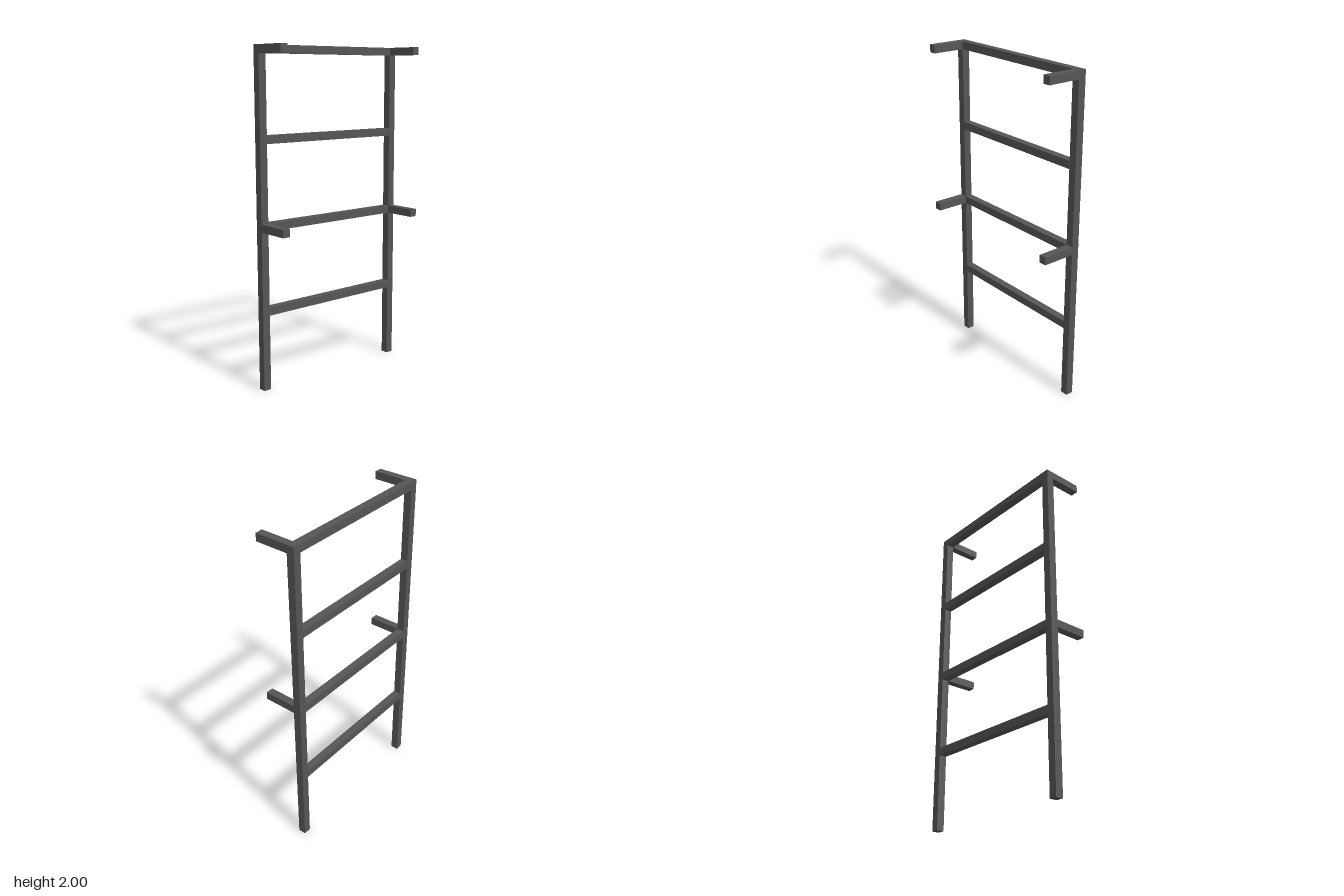
import * as THREE from 'three';

export function createModel() {
  const group = new THREE.Group();
  const steel = new THREE.MeshStandardMaterial({ color: 0x555555 });
  steel.name = 'darkSteel';

  const T = 0.047;                 // bar thickness
  const X0 = -0.125, X1 = 0.125;   // back of posts, tips of arms
  const Z = 0.522;                 // outer face of posts
  const postX = X0 + T / 2, postZ = Z - T / 2;

  function bar(name, w, h, d, x, y, z) {
    const mesh = new THREE.Mesh(new THREE.BoxGeometry(w, h, d), steel);
    mesh.name = name;
    mesh.position.set(x, y, z);
    group.add(mesh);
  }

  // Uprights
  for (const s of [1, -1]) {
    bar(s > 0 ? 'frontPost' : 'backPost', T, 2, T, postX, 1, s * postZ);
  }

  // Rungs between the uprights
  [0.5, 1, 1.5, 2].forEach((top, i) => {
    bar('rung' + (i + 1), T, T, 2 * (Z - T), postX, top - T / 2, 0);
  });

  // Stub arms at mid height and at the top
  for (const [level, top] of [['middle', 1], ['top', 2]]) {
    for (const s of [1, -1]) {
      const length = X1 - X0 - T;
      bar(level + (s > 0 ? 'FrontArm' : 'BackArm'), length, T, T, X1 - length / 2, top - T / 2, s * postZ);
    }
  }

  return group;
}
